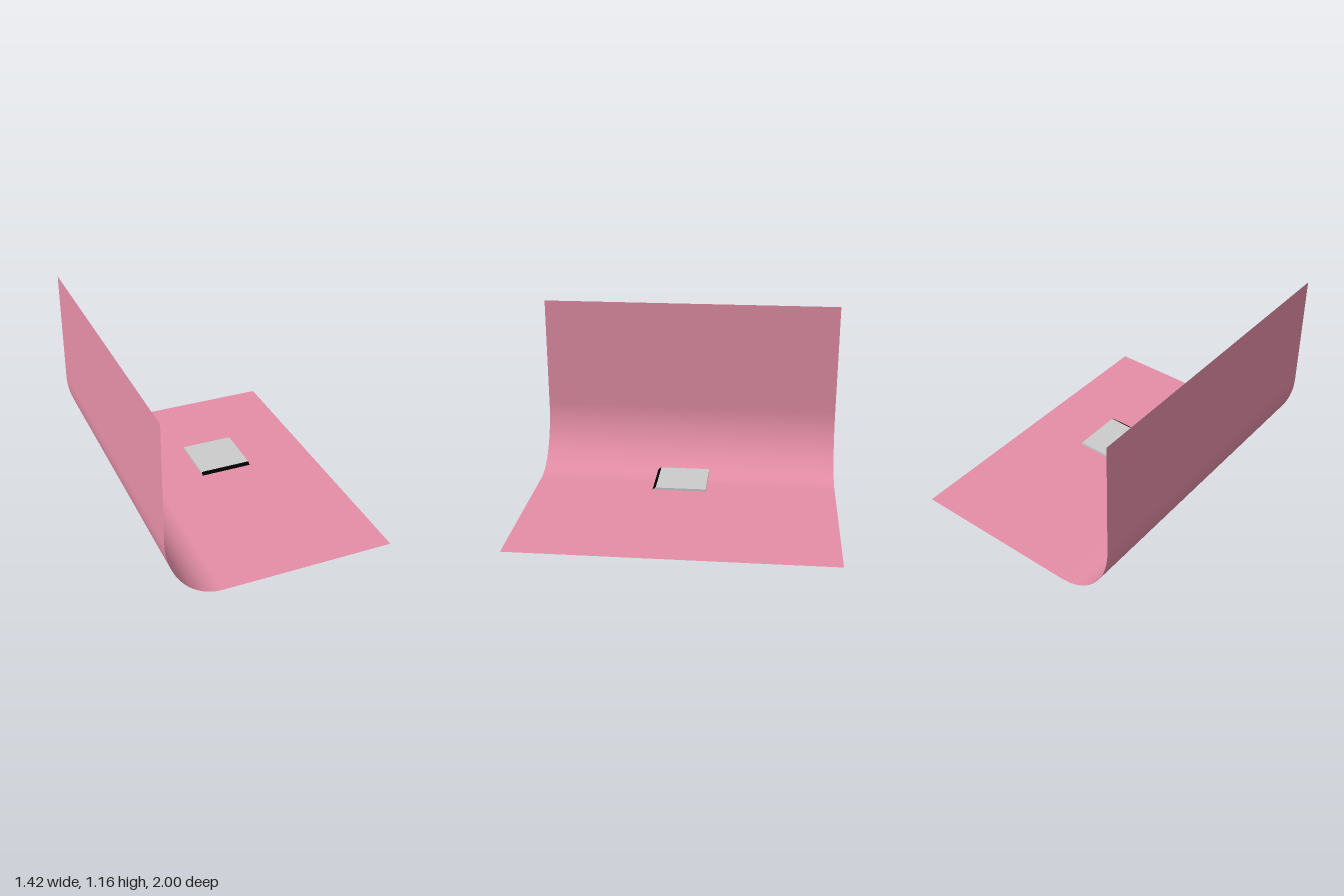
import * as THREE from 'three';

const DEPTH = 2, HALF_WIDTH = 0.71, HEIGHT = 1.165;
const BEND_X = 0.34, BEND_Y = 0.43, BEND_STEPS = 24;

// Profile from the top of the wall, round the bend, to the edge of the floor
function backdropProfile() {
  const points = [new THREE.Vector2(-HALF_WIDTH, HEIGHT)];
  for (let i = 0; i <= BEND_STEPS; i++) {
    const a = (i / BEND_STEPS) * Math.PI / 2;
    points.push(new THREE.Vector2(
      -HALF_WIDTH + BEND_X * (1 - Math.cos(a)),
      BEND_Y * (1 - Math.sin(a))
    ));
  }
  points.push(new THREE.Vector2(HALF_WIDTH, 0));
  return points;
}

// Thin sheet whose columns follow the profile
function createBackdrop() {
  const profile = backdropProfile();
  const columns = profile.length;
  const geometry = new THREE.PlaneGeometry(1, DEPTH, columns - 1, 1).rotateX(-Math.PI / 2);
  const position = geometry.attributes.position;
  for (let i = 0; i < position.count; i++) {
    const p = profile[i % columns];
    position.setXY(i, p.x, p.y);
  }
  geometry.computeVertexNormals();
  const mesh = new THREE.Mesh(geometry, new THREE.MeshStandardMaterial({
    color: 0xe58ea7, side: THREE.DoubleSide
  }));
  mesh.name = 'curvedBackdrop';
  return mesh;
}

// Floating flat slab with a slanted black front edge
function createSlab() {
  const group = new THREE.Group();
  group.name = 'floatingSlab';
  const width = 0.32, bottom = 0.186, top = 0.201;
  const back = -0.17, frontTop = 0.142, frontBottom = 0.162;

  // Side profile drawn in (-z, y), then turned so it extrudes along x
  const side = new THREE.Shape([
    new THREE.Vector2(-frontBottom, bottom),
    new THREE.Vector2(-back, bottom),
    new THREE.Vector2(-back, top),
    new THREE.Vector2(-frontTop, top)
  ]);
  const bodyGeometry = new THREE.ExtrudeGeometry(side, { depth: width, bevelEnabled: false });
  bodyGeometry.translate(0, 0, -width / 2).rotateY(Math.PI / 2);
  const body = new THREE.Mesh(bodyGeometry, new THREE.MeshStandardMaterial({ color: 0xcccccc }));
  body.name = 'slabBody';

  // Black strip laid over the slanted front
  const run = frontBottom - frontTop, rise = top - bottom;
  const strip = new THREE.Mesh(
    new THREE.PlaneGeometry(width, Math.hypot(run, rise)),
    new THREE.MeshStandardMaterial({ color: 0x000000 })
  );
  strip.name = 'slabFrontStrip';
  strip.rotation.x = -Math.atan2(run, rise);
  strip.position.set(0, (top + bottom) / 2 + 0.001, (frontTop + frontBottom) / 2 + 0.001);

  group.add(body, strip);
  return group;
}

export function createModel() {
  const model = new THREE.Group();
  model.name = 'backdropWithSlab';
  model.add(createBackdrop(), createSlab());
  return model;
}
